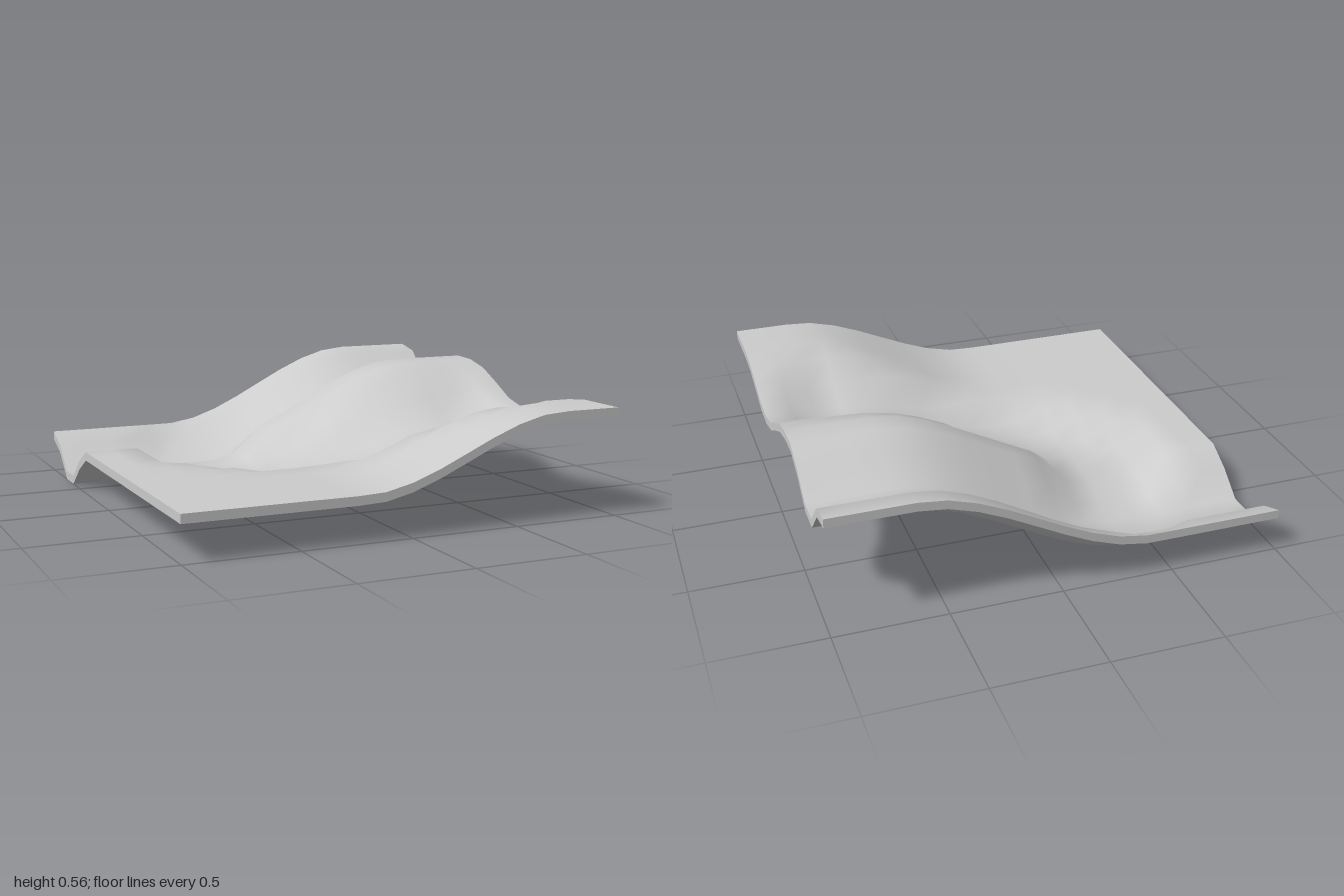
import * as THREE from 'three';

const THICKNESS = 0.04;
const CELLS = 16;
const { lerp, smoothstep, mapLinear, clamp } = THREE.MathUtils;

// Piecewise-linear lookup in a short list of [position, value] pairs
function table(pairs, t) {
  for (let i = 1; i < pairs.length; i++) {
    const [a, va] = pairs[i - 1], [b, vb] = pairs[i];
    if (t <= b) return mapLinear(Math.max(t, a), a, b, va, vb);
  }
  return pairs[pairs.length - 1][1];
}

// Distance from (x, z) to a polyline
function distanceTo(path, x, z) {
  let best = Infinity;
  for (let i = 1; i < path.length; i++) {
    const [ax, az] = path[i - 1], [bx, bz] = path[i];
    const dx = bx - ax, dz = bz - az;
    const t = clamp(((x - ax) * dx + (z - az) * dz) / (dx * dx + dz * dz), 0, 1);
    best = Math.min(best, Math.hypot(x - ax - t * dx, z - az - t * dz));
  }
  return best;
}

// Cross-section of the straight channel along the back, at the low and the high end
const channelLow = [[-1, 0], [-0.875, 0.05], [-0.75, 0.16], [-0.625, 0.16], [-0.5, 0.065], [-0.375, 0]];
const channelHigh = [[-1, 0], [-0.875, 0.025], [-0.75, 0.15], [-0.625, 0.15], [-0.5, 0.055], [-0.375, 0]];

// Winding gully that comes down the slope and runs into the channel
const gullyPath = [[-0.45, -0.65], [-0.45, -0.2], [-0.25, 0.03], [0.2, 0.16], [0.75, 0.27]];
const gullyDepth = [[-0.1, 0.09], [0, 0.1], [0.375, 0.15], [0.75, 0.2]];
// Shallow, wide end of the gully at the high edge
const gullyHead = [[0, 0.115], [0.125, 0.1], [0.25, 0.055], [0.375, 0.015], [0.5, 0]];

// Height of the top surface
function height(x, z) {
  // hillside: rises towards +x, a little earlier and higher at the back
  const back = 1 - smoothstep(z, -0.375, 0.4);
  const rise = smoothstep(x, lerp(-0.2, -0.4, back), lerp(0.72, 0.62, back));
  const ground = 0.2 + rise * lerp(0.28, 0.36, back);

  const channel = lerp(table(channelLow, z), table(channelHigh, z), smoothstep(x, -0.3, 0.6));

  let gully;
  if (x > 0.8) {
    gully = table(gullyHead, Math.abs(z - 0.25));
  } else {
    const widen = smoothstep(x, 0, 0.75);
    const d = distanceTo(gullyPath, x, z);
    const depth = z < -0.45 ? 0.15 : table(gullyDepth, x);
    gully = depth * (1 - smoothstep(d, lerp(0.17, 0.08, widen), lerp(0.3, 0.46, widen)));
  }
  return ground - Math.max(channel, gully);
}

export function createModel() {
  const group = new THREE.Group();
  group.name = 'terrainTile';

  // Slab of even thickness, its grid lifted to the terrain height
  const geometry = new THREE.BoxGeometry(2, THICKNESS, 2, CELLS, 1, CELLS);
  const p = geometry.attributes.position;
  for (let i = 0; i < p.count; i++) {
    const drop = p.getY(i) > 0 ? 0 : THICKNESS;
    p.setY(i, height(p.getX(i), p.getZ(i)) - drop);
  }
  geometry.computeVertexNormals();

  const ground = new THREE.Mesh(geometry, new THREE.MeshStandardMaterial({ color: 0xcccccc }));
  ground.name = 'ground';
  group.add(ground);
  return group;
}
